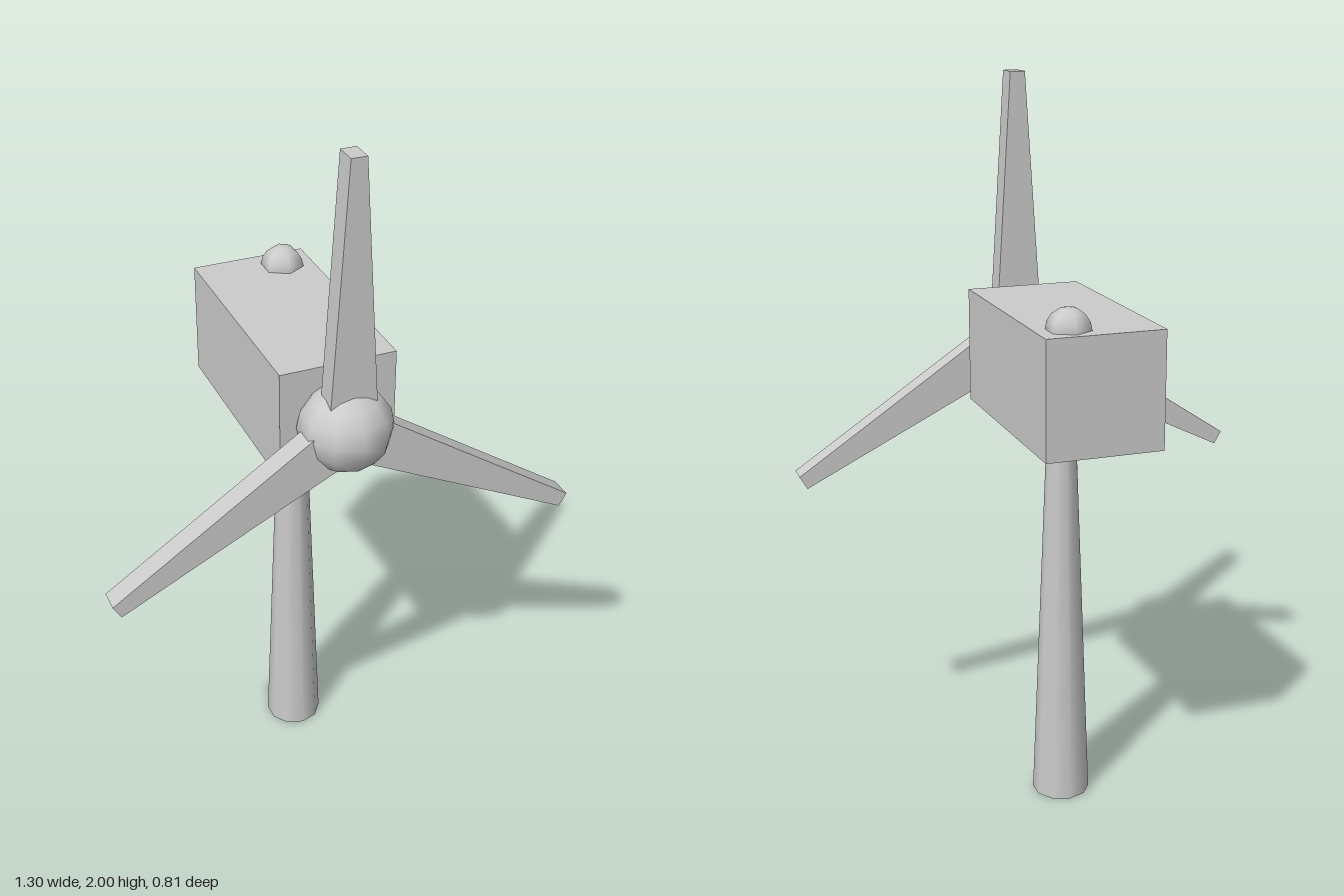
import * as THREE from 'three';

const AXIS_X = -0.006; // the tower, nacelle and rotor share this axis

export function createModel() {
  const model = new THREE.Group();
  const smooth = new THREE.MeshStandardMaterial({ color: 0xcccccc });
  const flat = new THREE.MeshStandardMaterial({ color: 0xcccccc, flatShading: true });
  const open = new THREE.MeshStandardMaterial({ color: 0xcccccc, side: THREE.DoubleSide });

  const add = (parent, name, geometry, material, x, y, z) => {
    const mesh = new THREE.Mesh(geometry, material);
    mesh.name = name;
    mesh.position.set(x, y, z);
    parent.add(mesh);
    return mesh;
  };

  // Tapered tower, open at the foot
  add(model, 'tower', new THREE.CylinderGeometry(0.039, 0.08, 1.1, 10, 1, true), open, AXIS_X, 0.55, -0.083);

  // Box-shaped machine housing
  add(model, 'nacelle', new THREE.BoxGeometry(0.32, 0.316, 0.636), flat, AXIS_X, 1.258, -0.088);

  // Small dome on the roof, with corners towards front and back
  const dome = new THREE.SphereGeometry(0.06, 6, 4, 0, Math.PI * 2, 0, Math.PI / 2).rotateY(Math.PI / 2);
  add(model, 'roofDome', dome, smooth, 0.067, 1.415, -0.33);

  // Rotor: hub and three blades
  const rotor = new THREE.Group();
  rotor.name = 'rotor';
  rotor.position.set(AXIS_X, 1.26, 0.297);
  model.add(rotor);

  const hub = new THREE.SphereGeometry(0.125, 10, 8).rotateY(Math.PI / 2).scale(1, 0.96, 1);
  add(rotor, 'hub', hub, smooth, 0, 0, -0.02);

  // Blade outline tapers from root to tip and keeps a constant thickness
  const root = 0.077, tip = 0.74, rootHalf = 0.064, tipHalf = 0.021, thickness = 0.062;
  const outline = new THREE.Shape([
    new THREE.Vector2(-rootHalf, root),
    new THREE.Vector2(rootHalf, root),
    new THREE.Vector2(tipHalf, tip),
    new THREE.Vector2(-tipHalf, tip),
  ]);
  const bladeGeometry = new THREE.ExtrudeGeometry(outline, { depth: thickness, bevelEnabled: false });
  bladeGeometry.translate(0, 0, -thickness / 2);
  for (let i = 0; i < 3; i++) {
    const blade = add(rotor, `blade${i + 1}`, bladeGeometry, flat, 0, 0, 0);
    blade.rotation.z = (i * Math.PI * 2) / 3;
  }

  return model;
}
